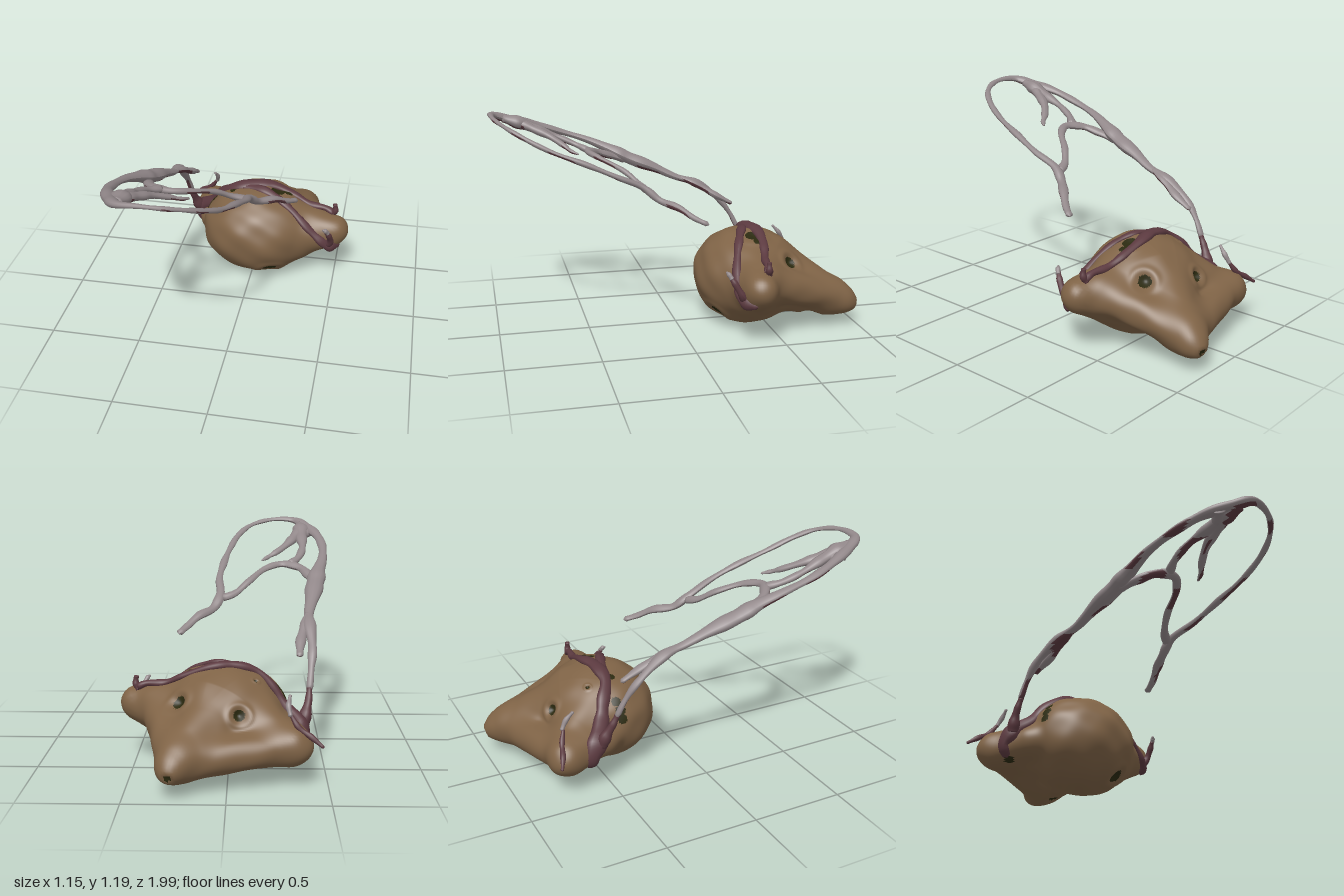
import * as THREE from 'three';
import { mergeVertices } from 'three/addons/utils/BufferGeometryUtils.js';

const V = (x, y, z) => new THREE.Vector3(x, y, z);
const mat = (name, color) => {
  const m = new THREE.MeshStandardMaterial({ color });
  m.name = name;
  return m;
};

// Body volume: one ellipsoid softly joined to tapered limbs that make the corner lobes
const CENTRE = V(0.01, 0.27, -0.48);
const LIMBS = [
  [V(0.1, 0.29, -0.42), 0.22, V(0.495, 0.328, -0.36), 0.075],
  [V(0.14, 0.22, -0.41), 0.18, V(0.46, 0.3, -0.35), 0.085],
  [V(0.07, 0.265, -0.54), 0.22, V(0.26, 0.15, -0.912), 0.077],
  [V(-0.05, 0.27, -0.5), 0.22, V(-0.325, 0.21, -0.735), 0.083],
  [V(0.2, 0.16, -0.84), 0.09, V(-0.3, 0.205, -0.735), 0.085],
  [V(0.37, 0.31, -0.43), 0.09, V(0.25, 0.18, -0.86), 0.085],
  [V(-0.325, 0.21, -0.72), 0.08, V(-0.285, 0.23, -0.52), 0.08],
];
const softMin = (a, b, k) => {
  const h = Math.max(k - Math.abs(a - b), 0) / k;
  return Math.min(a, b) - h * h * k * 0.25;
};
function field(p) {
  const q = V((p.x - 0.02) / 0.335, (p.y - 0.274) / 0.268, (p.z + 0.4) / 0.287);
  let d = (q.length() - 1) * 0.28;
  for (const [a, ra, b, rb] of LIMBS) {
    const ab = b.clone().sub(a);
    const t = THREE.MathUtils.clamp(p.clone().sub(a).dot(ab) / ab.lengthSq(), 0, 1);
    d = softMin(d, a.clone().addScaledVector(ab, t).distanceTo(p) - ra - (rb - ra) * t, 0.06);
  }
  return d;
}
// Point where a ray from inside leaves the body
function hit(origin, dir) {
  let lo = 0, hi = 1;
  for (let i = 0; i < 20; i++) {
    const m = (lo + hi) / 2;
    if (field(origin.clone().addScaledVector(dir, m)) < 0) lo = m; else hi = m;
  }
  return origin.clone().addScaledVector(dir, lo);
}
const onTop = (x, z) => hit(V(x, 0.25, z), V(0, 1, 0));
const onFront = (x, y) => hit(V(x, y, -0.42), V(0, 0, 1));
const onSide = (x, y, z) => hit(CENTRE, V(x, y, z).sub(CENTRE).normalize());

function buildBody(skin, dark) {
  // Pits: centre, radius, depth (depth 0 is a flat dark patch beside a strap)
  const pits = [
    [onTop(-0.06, -0.71), 0.03, 0.022], [onTop(0.25, -0.6), 0.036, 0.022],
    [onTop(0.14, -0.41), 0.042, 0.012], [onFront(0.12, 0.085), 0.042, 0.018],
    [onSide(0.25, 0.05, -0.77), 0.038, 0.022], [onSide(0.275, 0.125, -0.98), 0.02, 0.012],
    [onTop(-0.14, -0.53), 0.01, 0.012], [onTop(0.2, -0.425), 0.026, 0],
    [onSide(-0.31, 0.34, -0.4), 0.026, 0], [onSide(-0.29, 0.385, -0.405), 0.028, 0],
    [onSide(-0.265, 0.43, -0.415), 0.026, 0], [onSide(-0.14, 0.52, -0.385), 0.02, 0],
    [onSide(-0.36, 0.12, -0.63), 0.025, 0],
  ];
  let geo = new THREE.SphereGeometry(1, 220, 140);
  geo.deleteAttribute('uv');
  geo.deleteAttribute('normal');
  geo = mergeVertices(geo, 1e-5);
  const pos = geo.attributes.position;
  const flat = [];
  for (let i = 0; i < pos.count; i++) {
    const dir = V().fromBufferAttribute(pos, i).normalize();
    const p = hit(CENTRE, dir);
    flat.push(p.clone());
    // Gentle lumps over the skin, then a raised rim and a hollow at every pit
    let lift = 0.006 * Math.sin(p.x * 23 + p.y * 9) * Math.sin(p.y * 27 - p.z * 11) * Math.sin(p.z * 19 + 1);
    for (const [c, r, depth] of pits) {
      const h = p.distanceTo(c);
      lift += depth * (0.35 * Math.exp(-(((h - r * 1.8) / (r * 0.6)) ** 2)) - Math.exp(-((h / (r * 0.9)) ** 2)));
    }
    p.addScaledVector(dir, lift);
    pos.setXYZ(i, p.x, p.y, p.z);
  }
  geo.computeVertexNormals();
  splitFaces(geo, (f) => {
    const mid = V().add(flat[f[0]]).add(flat[f[1]]).add(flat[f[2]]).divideScalar(3);
    return pits.some(([c, r]) => mid.distanceTo(c) < r);
  });
  const mesh = new THREE.Mesh(geo, [skin, dark]);
  mesh.name = 'body';
  return mesh;
}

// Sorts faces into two material groups by a test on their corner indices
function splitFaces(geo, isSecond) {
  const faces = [[], []];
  const idx = geo.index.array;
  for (let i = 0; i < idx.length; i += 3) {
    const f = [idx[i], idx[i + 1], idx[i + 2]];
    faces[isSecond(f) ? 1 : 0].push(...f);
  }
  geo.setIndex([...faces[0], ...faces[1]]);
  geo.addGroup(0, faces[0].length, 0);
  geo.addGroup(faces[0].length, faces[1].length, 1);
}

// Tendril with a radius per point [x, y, z, r], squashed along the normal at each centre
const FRAME_UP = V(0, 0.92, -0.39);
const outward = (c) => c.clone().sub(CENTRE).normalize();
function tendril(name, pts, material, squash = 1, normalAt = outward) {
  const path = new THREE.CatmullRomCurve3(pts.map((p) => V(p[0], p[1], p[2])), false, 'centripetal');
  const n = pts.length * 8, sides = 12;
  const geo = new THREE.TubeGeometry(path, n, 1, sides, false);
  const pos = geo.attributes.position;
  for (let i = 0; i <= n; i++) {
    const c = path.getPointAt(i / n);
    const normal = normalAt(c);
    const s = path.getUtoTmapping(i / n) * (pts.length - 1);
    const k = Math.min(Math.floor(s), pts.length - 2);
    const r = THREE.MathUtils.lerp(pts[k][3], pts[k + 1][3], THREE.MathUtils.smoothstep(s - k, 0, 1))
      * (1 + 0.1 * Math.sin(s * 5 + pts.length));
    const end = i === 0 || i === n ? 0.05 : 1;
    for (let j = 0; j <= sides; j++) {
      const v = i * (sides + 1) + j;
      const o = V().fromBufferAttribute(pos, v).sub(c);
      o.addScaledVector(normal, -o.dot(normal) * (1 - squash)).multiplyScalar(r * end).add(c);
      pos.setXYZ(v, o.x, o.y, o.z);
    }
  }
  geo.computeVertexNormals();
  const mesh = new THREE.Mesh(geo, material);
  mesh.name = name;
  return mesh;
}

export function createModel() {
  const skin = mat('brown skin', 0x7f6346);
  const dark = mat('dark pit', 0x2b2a10);
  const grey = mat('grey vine', 0x92888a);
  const red = mat('dull red strap', 0x5c3a40);
  const model = new THREE.Group();
  model.name = 'vinePod';
  model.add(buildBody(skin, dark));

  // Grey vine frame reaching up and forward, with red blotches on its underside
  const vines = new THREE.Group();
  vines.name = 'vineFrame';
  const vine = (name, pts) => {
    const mesh = tendril(name, pts, [grey, red], 0.7, () => FRAME_UP);
    const { position, normal } = mesh.geometry.attributes;
    splitFaces(mesh.geometry, ([a]) => {
      const p = V().fromBufferAttribute(position, a);
      const under = V().fromBufferAttribute(normal, a).dot(FRAME_UP) < -0.55;
      return under && Math.sin(p.x * 31 + 1) + Math.sin(p.z * 23) > 0.5;
    });
    vines.add(mesh);
  };
  vine('mainStem', [
    [-0.415, 0.42, -0.49, 0.016], [-0.425, 0.52, -0.44, 0.018], [-0.435, 0.62, -0.36, 0.024],
    [-0.425, 0.72, -0.22, 0.034], [-0.43, 0.76, -0.1, 0.025], [-0.455, 0.82, 0.03, 0.042],
    [-0.48, 0.88, 0.18, 0.055], [-0.5, 0.93, 0.28, 0.045], [-0.535, 0.99, 0.42, 0.026],
    [-0.545, 1.05, 0.6, 0.026], [-0.52, 1.1, 0.74, 0.03], [-0.46, 1.14, 0.88, 0.036],
    [-0.4, 1.17, 0.965, 0.027], [-0.31, 1.18, 0.98, 0.017], [-0.2, 1.17, 0.965, 0.016],
    [-0.1, 1.14, 0.91, 0.016], [-0.03, 1.09, 0.82, 0.02], [0.02, 1.02, 0.68, 0.018],
    [0.055, 0.95, 0.5, 0.022], [0.075, 0.88, 0.34, 0.02], [0.065, 0.81, 0.19, 0.027],
    [0.1, 0.745, 0.11, 0.028], [0.18, 0.715, 0.02, 0.027], [0.24, 0.67, -0.05, 0.02], [0.285, 0.64, -0.12, 0.022],
  ]);
  vine('sideSpur', [
    [-0.425, 0.76, -0.12, 0.02], [-0.4, 0.71, -0.23, 0.026], [-0.375, 0.65, -0.33, 0.026], [-0.365, 0.59, -0.44, 0.018],
  ]);
  vine('crossBranch', [
    [-0.48, 0.87, 0.2, 0.03], [-0.45, 0.905, 0.3, 0.028], [-0.4, 0.94, 0.39, 0.028], [-0.3, 0.955, 0.44, 0.026],
    [-0.2, 0.935, 0.39, 0.021], [-0.1, 0.875, 0.27, 0.02], [-0.02, 0.815, 0.2, 0.022], [0.06, 0.79, 0.17, 0.03],
  ]);
  vine('innerBranch', [
    [-0.34, 0.955, 0.43, 0.026], [-0.395, 0.985, 0.5, 0.024], [-0.425, 1.03, 0.6, 0.022],
    [-0.425, 1.08, 0.72, 0.034], [-0.425, 1.12, 0.82, 0.05], [-0.425, 1.15, 0.92, 0.035],
  ]);
  vine('innerTwig', [
    [-0.42, 1.12, 0.82, 0.034], [-0.38, 1.085, 0.74, 0.034], [-0.335, 1.05, 0.66, 0.026],
    [-0.26, 1.005, 0.585, 0.02], [-0.21, 0.98, 0.55, 0.014], [-0.175, 0.965, 0.51, 0.009],
  ]);
  vine('outerWeb', [[-0.5, 1.12, 0.83, 0.04], [-0.44, 1.1, 0.79, 0.034], [-0.4, 1.09, 0.75, 0.02]]);
  model.add(vines);

  // Red straps lying flat on the body
  const straps = new THREE.Group();
  straps.name = 'straps';
  const top = (x, z, r) => [...onTop(x, z).toArray(), r];
  const side = (x, y, z, r) => [...onSide(x, y, z).toArray(), r];
  const strap = (name, pts, squash) => straps.add(tendril(name, pts, red, squash));
  strap('topStrap', [
    side(-0.37, 0.13, -0.63, 0.028), side(-0.41, 0.2, -0.625, 0.042), side(-0.4, 0.28, -0.585, 0.055),
    side(-0.34, 0.36, -0.525, 0.04), side(-0.27, 0.45, -0.485, 0.034), top(-0.15, -0.43, 0.034),
    top(-0.02, -0.43, 0.045), top(0.1, -0.455, 0.034), top(0.24, -0.445, 0.024), top(0.34, -0.42, 0.022),
    [0.43, 0.435, -0.405, 0.02], [0.485, 0.41, -0.395, 0.024],
  ], 0.6);
  strap('topStrapTip', [[0.47, 0.4, -0.4, 0.02], [0.488, 0.43, -0.395, 0.017], [0.485, 0.475, -0.395, 0.014]]);
  strap('frontStrap', [
    top(-0.08, -0.41, 0.024), top(0.04, -0.375, 0.028), top(0.14, -0.335, 0.025), top(0.24, -0.295, 0.022),
    side(0.34, 0.36, -0.265, 0.024), side(0.41, 0.29, -0.265, 0.028), side(0.46, 0.255, -0.28, 0.036),
    side(0.51, 0.245, -0.33, 0.02),
  ], 0.6);
  strap('rightHook', [
    [0.455, 0.265, -0.275, 0.03], [0.478, 0.3, -0.25, 0.02], [0.47, 0.36, -0.215, 0.016], [0.452, 0.4, -0.19, 0.012],
  ]);
  strap('leftStem', [
    [-0.38, 0.26, -0.56, 0.035], [-0.395, 0.32, -0.54, 0.03], [-0.41, 0.38, -0.51, 0.018], [-0.415, 0.44, -0.48, 0.016],
  ]);
  strap('leftSpur', [
    [-0.31, 0.37, -0.74, 0.01], [-0.35, 0.31, -0.765, 0.014], [-0.41, 0.27, -0.785, 0.014], [-0.47, 0.225, -0.815, 0.009],
  ]);
  model.add(straps);

  // Grey tips on the small hooks
  model.add(tendril('rightHookTip', [[0.465, 0.385, -0.2, 0.014], [0.45, 0.41, -0.185, 0.012], [0.435, 0.42, -0.175, 0.006]], grey));
  model.add(tendril('leftSpurTip', [[-0.31, 0.36, -0.75, 0.012], [-0.3, 0.41, -0.72, 0.013], [-0.31, 0.455, -0.68, 0.008]], grey));
  return model;
}
